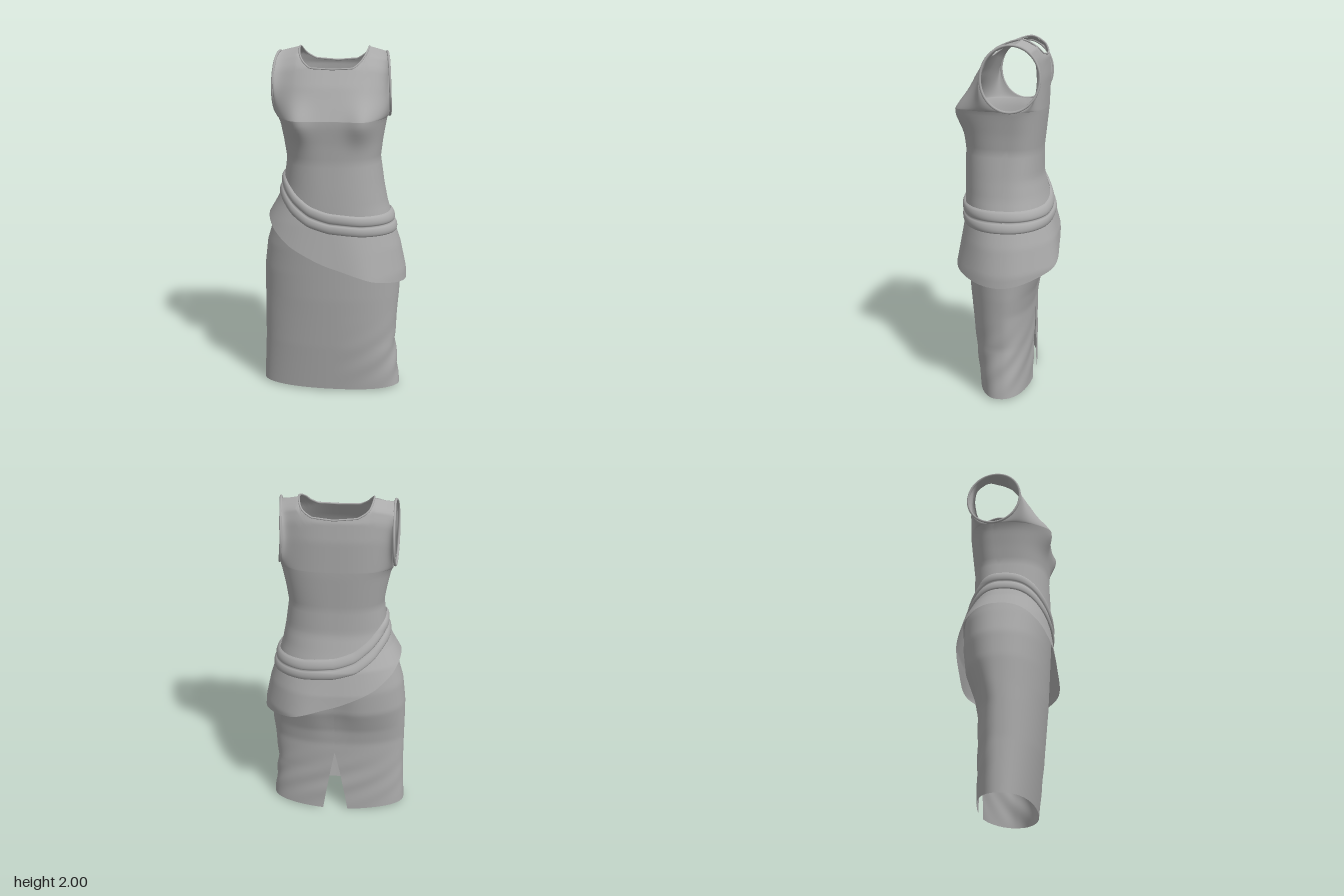
import * as THREE from 'three';

// Body profile: y, half width at -x, half width at +x, front z, back z, side z, squareness
const BODY = [
  [0.0, 0.427, 0.397, 0.163, -0.14, 0.01, 2.3], [0.3, 0.412, 0.365, 0.2, -0.14, 0.01, 2.3],
  [0.5, 0.41, 0.375, 0.22, -0.145, 0.01, 2.2], [0.6, 0.41, 0.383, 0.23, -0.165, 0, 2.2],
  [0.75, 0.408, 0.388, 0.24, -0.222, 0, 2.2], [0.9, 0.39, 0.37, 0.25, -0.24, 0, 2.2],
  [1.05, 0.345, 0.335, 0.26, -0.238, 0, 2.25], [1.15, 0.31, 0.305, 0.26, -0.208, 0, 2.3],
  [1.25, 0.285, 0.285, 0.258, -0.182, 0, 2.4], [1.4, 0.265, 0.262, 0.253, -0.18, -0.01, 2.6],
  [1.5, 0.28, 0.273, 0.26, -0.19, -0.02, 2.7], [1.6, 0.3, 0.29, 0.272, -0.2, -0.03, 2.7],
  [1.63, 0.315, 0.297, 0.272, -0.202, -0.035, 2.7], [1.8, 0.315, 0.287, 0.192, -0.208, -0.035, 2.7],
  [1.9, 0.313, 0.287, 0.13, -0.201, -0.035, 2.7], [1.96, 0.312, 0.287, 0.058, -0.178, -0.035, 2.7],
  [2.0, 0.308, 0.287, -0.09, -0.09, -0.035, 2.7]];
// Heights along x for the slanted band and hem, and along |x|/halfWidth for the necklines
const BAND_TOP = [[-0.33, 1.315], [-0.3, 1.295], [-0.2, 1.22], [-0.1, 1.16], [0, 1.125], [0.15, 1.105], [0.33, 1.098]];
const HEM = [[-0.38, 1.075], [-0.31, 1.01], [-0.2, 0.93], [0, 0.82], [0.2, 0.74], [0.4, 0.685]];
const NECK_FRONT = [[0, 1.89], [0.38, 1.895], [0.5, 1.918], [0.6, 1.96], [0.65, 2], [1, 1.975]];
const NECK_BACK = [[0, 1.915], [0.4, 1.925], [0.57, 1.955], [0.65, 2], [1, 1.975]];
const ARM_LOW = 1.63, ARM_TALL = 0.37;

// Linear look-up in a table whose first column is the key
function at(table, k) {
  let i = 1;
  while (i < table.length - 1 && table[i][0] < k) i++;
  const a = table[i - 1], b = table[i];
  const t = THREE.MathUtils.clamp((k - a[0]) / (b[0] - a[0]), 0, 1);
  return a.map((v, j) => v + (b[j] - v) * t);
}
const height = (table, x) => at(table, x)[1];
const bell = (x, c, w) => Math.exp(-(((x - c) / w) ** 2));
// Forward bulge of the bust, fading at the side seams
const bust = (c, s, y) => s > 0 ? 0.05 * s * bell(Math.abs(c), 0.64, 0.27) * bell(y, 1.62, 0.1) : 0;

// Grid surface from a rule f(u, v) -> [x, y, z]
function surface(cols, rows, f) {
  const pos = [], idx = [];
  for (let j = 0; j <= rows; j++)
    for (let i = 0; i <= cols; i++) pos.push(...f(i / cols, j / rows));
  for (let j = 0; j < rows; j++)
    for (let i = 0; i < cols; i++) {
      const a = j * (cols + 1) + i, b = a + cols + 1;
      idx.push(a, b, a + 1, b, b + 1, a + 1);
    }
  const g = new THREE.BufferGeometry();
  g.setAttribute('position', new THREE.Float32BufferAttribute(pos, 3));
  g.setIndex(idx);
  g.computeVertexNormals();
  return g;
}

// Rounded-square direction for an angle: c along x, s along z
function direction(angle, n) {
  const c = Math.cos(angle), s = Math.sin(angle);
  return [Math.sign(c) * Math.abs(c) ** (2 / n), Math.sign(s) * Math.abs(s) ** (2 / n)];
}

// Point on the body below the armholes, pushed outward by off
function bodyPoint(angle, y, off = 0) {
  const [, xl, xr, zf, zb, zm, n] = at(BODY, y);
  const [c, s] = direction(angle, n);
  return [c * ((c < 0 ? xl : xr) + off), y, zm + s * ((s > 0 ? zf - zm : zm - zb) + off) + bust(c, s, y)];
}

// Point on the chest or shoulder: c across, t from armhole bottom to neckline or shoulder seam
function chestPoint(side, c, t) {
  const k = Math.abs(c), top = height(side > 0 ? NECK_FRONT : NECK_BACK, k);
  const y = ARM_LOW + t * (top - ARM_LOW);
  const ref = k < 0.65 ? y : ARM_LOW + t * ARM_TALL;
  const [, xl, xr, zf, zb, zm, n] = at(BODY, ref);
  const h = THREE.MathUtils.clamp((ref - ARM_LOW) / ARM_TALL, 0, 1);
  // The armhole swings forward-outward, so the back is narrower than the chest
  const swing = side * 2 * Math.sqrt(h * (1 - h)) * k ** 6;
  const half = c < 0 ? xl + 0.01 * swing : xr + 0.02 * swing;
  const edge = zm + 0.155 * swing;
  const w = Math.max(0, 1 - k ** n) ** (1 / n);
  return [c * half, y, edge + ((side > 0 ? zf : zb) - edge) * w + bust(c, side * w, y)];
}

function bodicePanel(side) {
  const low = 24, high = 28;
  return surface(72, low + high, (u, v) => {
    const row = Math.round(v * (low + high)), angle = side * Math.PI * u;
    if (row <= low) return bodyPoint(angle, 1.08 + (ARM_LOW - 1.08) * row / low);
    const t = (1 - Math.cos(Math.PI * (row - low) / high)) / 2;
    return chestPoint(side, direction(angle, 2.7)[0], t);
  });
}

function tube(points, radius) {
  const curve = new THREE.CatmullRomCurve3(points.map(p => new THREE.Vector3(...p)), true);
  return new THREE.TubeGeometry(curve, 96, radius, 8, true);
}

export function createModel() {
  const group = new THREE.Group();
  const cloth = new THREE.MeshStandardMaterial({ color: 0xaaaaaa, side: THREE.DoubleSide });
  cloth.name = 'grey cloth';
  const add = (name, geometry) => {
    const mesh = new THREE.Mesh(geometry, cloth);
    mesh.name = name;
    group.add(mesh);
  };

  add('bodiceFront', bodicePanel(1));
  add('bodiceBack', bodicePanel(-1));

  // Neck binding
  const neck = [];
  for (let i = 0; i <= 20; i++) neck.push(chestPoint(1, 0.65 - 0.065 * i, 1));
  for (let i = 1; i < 20; i++) neck.push(chestPoint(-1, -0.65 + 0.065 * i, 1));
  add('neckBinding', tube(neck, 0.005));

  // Armhole bindings, flaring out a little at the bottom
  for (const x of [-1, 1]) {
    const ring = [];
    for (let i = 0; i < 32; i++) {
      const a = i / 32 * Math.PI * 2, t = (1 - Math.cos(a)) / 2;
      const p = chestPoint(Math.sin(a) >= 0 ? 1 : -1, x, t);
      p[0] += x * 0.008 * (1 - t);
      ring.push(p);
    }
    add(x > 0 ? 'leftArmBinding' : 'rightArmBinding', tube(ring, 0.007));
  }

  // Skirt, open at the back in a tapering slit
  add('skirt', surface(128, 56, (u, v) => {
    const y = 0.015 + v * 1.065;
    const gap = 0.15 * Math.max(0, 1 - y / 0.43);
    const angle = -Math.PI / 2 + gap + u * (Math.PI * 2 - 2 * gap);
    const c = Math.cos(angle), back = Math.max(0, -Math.sin(angle));
    const folds = 0.004 * Math.sin(38 * y + 7 * angle) * bell(y, 0.2, 0.16) * Math.max(0, c, back * 0.8);
    const p = bodyPoint(angle, y, folds);
    // Crease between the seat lobes
    p[2] += back * 0.022 * bell(c, 0, 0.22) * bell(y, 0.75, 0.17);
    p[1] -= 0.015 * back ** 6 * (1 - v) ** 12;
    return p;
  }));

  // Slanted waist band of two rolled folds
  add('waistBand', surface(112, 20, (u, v) => {
    const angle = u * Math.PI * 2;
    const y = height(BAND_TOP, 0.33 * Math.cos(angle)) - v * 0.12;
    return bodyPoint(angle, y, 0.003 + 0.014 * Math.sqrt(Math.abs(Math.sin(2 * Math.PI * v))));
  }));

  // Flared slanted overskirt, fuller over the low hip
  add('peplum', surface(112, 16, (u, v) => {
    const angle = u * Math.PI * 2, c = Math.cos(angle), s = Math.sin(angle);
    const top = height(BAND_TOP, 0.33 * c) - 0.11;
    const y = top + (height(HEM, 0.38 * c) - top) * v;
    const back = Math.max(0, -s);
    const p = bodyPoint(angle, y, 0.006 + v * 0.03);
    p[2] += v * s * (0.035 * bell(c, 0.55, 0.35) + 0.006) - v * back * 0.012 * bell(c, 0.4, 0.4);
    p[1] += 0.02 * back * v;
    return p;
  }));

  return group;
}
